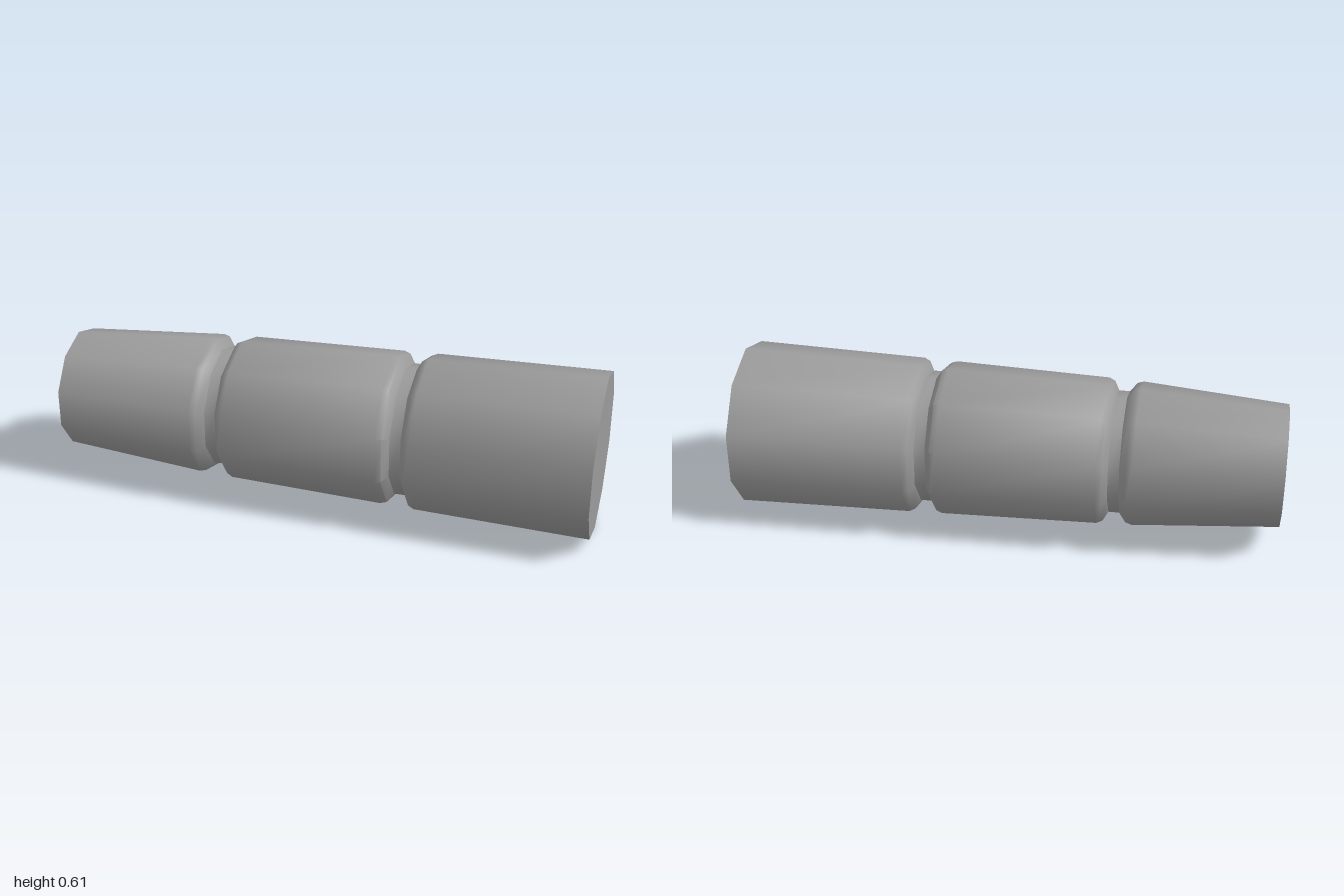
import * as THREE from 'three';
import { toCreasedNormals } from 'three/addons/utils/BufferGeometryUtils.js';

const SIDES = 10;
const AXIS_Y = 0.305;

// Turn a profile of [x, radius] points about the x axis, a vertex pointing up
function turned(name, profile, material) {
  const points = profile.map(([x, r]) => new THREE.Vector2(r, x));
  let geometry = new THREE.LatheGeometry(points, SIDES, Math.PI / 2);
  geometry.rotateZ(-Math.PI / 2);
  geometry = toCreasedNormals(geometry, 0.8);
  const mesh = new THREE.Mesh(geometry, material);
  mesh.name = name;
  return mesh;
}

export function createModel() {
  const group = new THREE.Group();
  group.name = 'segmentedShaft';
  const material = new THREE.MeshStandardMaterial({ color: 0x9b9b9b });

  const parts = {
    // Narrow end: closed tip, rounded shoulder at the groove
    narrowSection: [[-1, 0], [-1, 0.224], [-0.468, 0.265], [-0.445, 0.258], [-0.42, 0.225]],
    narrowGroove: [[-0.42, 0.225], [-0.38, 0.225]],
    // Middle: rounded shoulders at both grooves
    middleSection: [[-0.38, 0.225], [-0.362, 0.259], [-0.34, 0.27],
      [0.235, 0.286], [0.258, 0.278], [0.28, 0.244]],
    wideGroove: [[0.28, 0.244], [0.32, 0.244]],
    // Wide end: rounded shoulder, closed base
    wideSection: [[0.32, 0.244], [0.338, 0.279], [0.36, 0.29], [1, 0.305], [1, 0]],
  };
  for (const [name, profile] of Object.entries(parts)) group.add(turned(name, profile, material));

  group.position.y = AXIS_Y;
  return group;
}
